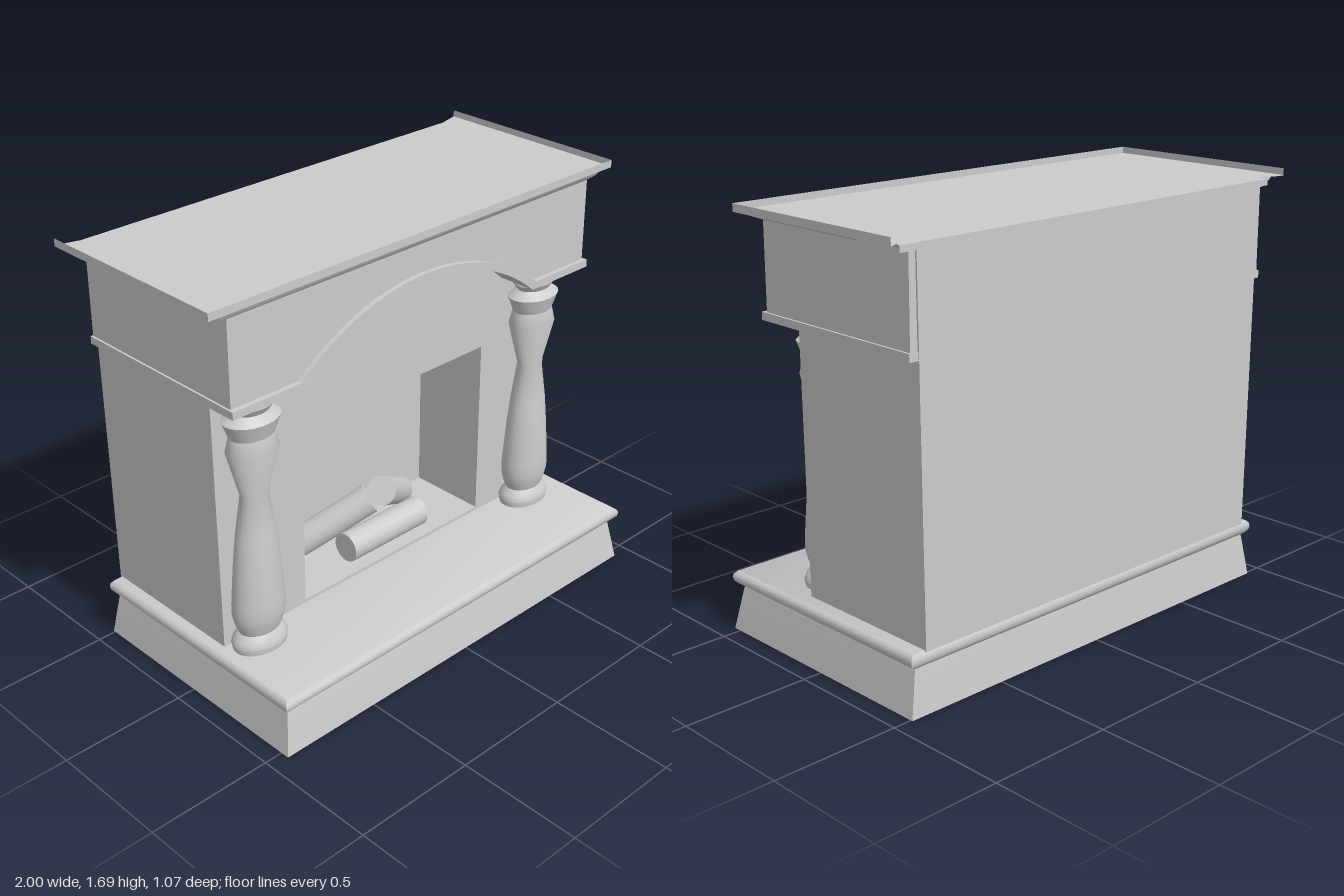
import * as THREE from 'three';
import { toCreasedNormals } from 'three/addons/utils/BufferGeometryUtils.js';

const grey = new THREE.MeshStandardMaterial({ color: 0xcccccc });
const greyDouble = new THREE.MeshStandardMaterial({ color: 0xcccccc, side: THREE.DoubleSide });

export function createModel() {
  const model = new THREE.Group();

  const add = (name, geometry, material = grey) => {
    const mesh = new THREE.Mesh(geometry, material);
    mesh.name = name;
    model.add(mesh);
    return mesh;
  };

  // Box given by its limits
  const block = (name, x0, x1, y0, y1, z0, z1) =>
    add(name, new THREE.BoxGeometry(x1 - x0, y1 - y0, z1 - z0))
      .position.set((x0 + x1) / 2, (y0 + y1) / 2, (z0 + z1) / 2);

  // Outline in x, y extruded between two z planes
  const slab = (name, shape, z0, z1) => {
    const g = new THREE.ExtrudeGeometry(shape, { depth: z1 - z0, bevelEnabled: false, curveSegments: 32 });
    g.translate(0, 0, z0);
    add(name, g);
  };

  // Rectangular rings [halfWidth, front, back, y] joined upwards; an open loft has no caps and no back
  const loft = (rings, open) => {
    const position = [], index = [];
    for (const [x, f, b, y] of rings) position.push(-x, y, f, x, y, f, x, y, b, -x, y, b);
    for (let r = 0; r < rings.length - 1; r++) {
      for (let i = 0; i < 4; i++) {
        if (open && i === 2) continue;
        const a = r * 4 + i, b = r * 4 + (i + 1) % 4;
        index.push(a, b, b + 4, a, b + 4, a + 4);
      }
    }
    if (!open) {
      const t = (rings.length - 1) * 4;
      index.push(t, t + 1, t + 2, t, t + 2, t + 3, 0, 2, 1, 0, 3, 2);
    }
    const g = new THREE.BufferGeometry();
    g.setAttribute('position', new THREE.Float32BufferAttribute(position, 3));
    g.setIndex(index);
    return toCreasedNormals(g, 0.75);
  };

  // Hearth plinth with a rounded upper edge
  const plinth = [[0, 0], [0.03, 0.165], [0.033, 0.178], [0.016, 0.187], [0.004, 0.198],
    [0, 0.213], [0.004, 0.228], [0.018, 0.24]];
  add('hearth', loft(plinth.map(([o, y]) => [0.925 - o, 0.535 - o, -0.508 + o * 0.6, y])));

  // Chimney breast with the firebox opening
  const breast = new THREE.Shape();
  breast.moveTo(-0.87, 0.235).lineTo(0.857, 0.235).lineTo(0.872, 1.63).lineTo(-0.882, 1.63).closePath();
  const opening = new THREE.Path();
  opening.moveTo(-0.47, 0.255).lineTo(-0.47, 1).lineTo(0.48, 1).lineTo(0.48, 0.255).closePath();
  const back = breast.clone();
  breast.holes.push(opening);
  slab('chimneyBreast', breast, -0.2, 0.13);
  slab('backWall', back, -0.507, -0.2);

  // Arch line: flat shoulders and a circular rise, as points from left to right
  const archLine = (halfWidth, halfSpan, shoulder, crown) => {
    const rise = crown - shoulder;
    const radius = (halfSpan ** 2 + rise ** 2) / (2 * rise);
    const points = [new THREE.Vector2(-halfWidth, shoulder)];
    for (let i = 0; i <= 32; i++) {
      const x = halfSpan * (i / 16 - 1);
      points.push(new THREE.Vector2(x, crown - radius + Math.sqrt(radius ** 2 - x ** 2)));
    }
    points.push(new THREE.Vector2(halfWidth, shoulder));
    return points;
  };
  const upper = archLine(0.9, 0.605, 1.295, 1.515);
  const trimUpper = archLine(0.908, 0.605, 1.295, 1.515);
  const trimLower = archLine(0.908, 0.585, 1.265, 1.487);

  // Frieze above the arch and its plain sides
  slab('frieze', new THREE.Shape([...upper, new THREE.Vector2(0.9, 1.64), new THREE.Vector2(-0.9, 1.64)]), 0.12, 0.27);
  block('friezeBody', -0.9, 0.9, 1.29, 1.64, -0.5, 0.125);

  // Trim following the arch and running back along both sides
  slab('archTrim', new THREE.Shape([...trimLower, ...trimUpper.reverse()]), 0.12, 0.29);
  block('sideTrim', -0.908, 0.908, 1.265, 1.295, -0.505, 0.125);

  // Mantel shelf: cornice with an upstanding rim on three sides
  add('cornice', loft([
    [0.9, 0.27, -0.505, 1.625], [0.935, 0.283, -0.505, 1.638], [0.955, 0.292, -0.51, 1.66],
    [1, 0.305, -0.535, 1.66], [1, 0.305, -0.535, 1.69],
  ], true), greyDouble);
  block('rearStrip', -0.94, 0.94, 1.627, 1.652, -0.505, -0.29);
  const top = new THREE.Shape();
  top.moveTo(-1, -0.305).lineTo(1, -0.305).lineTo(1, 0.535).lineTo(0.91, 0.51).lineTo(-0.91, 0.51).lineTo(-1, 0.535);
  add('shelfTop', new THREE.ShapeGeometry(top).rotateX(-Math.PI / 2).translate(0, 1.664, 0), greyDouble);

  // Turned columns, slightly flattened front to back
  const profile = [[0, 0.238], [0.112, 0.238], [0.117, 0.265], [0.108, 0.288], [0.086, 0.31], [0.1, 0.345],
    [0.109, 0.38], [0.109, 0.43], [0.095, 0.6], [0.082, 0.72], [0.057, 0.88], [0.106, 1.06], [0.09, 1.12],
    [0.116, 1.185], [0.075, 1.213], [0.096, 1.24], [0.088, 1.268], [0, 1.268]]
    .map(([r, y]) => new THREE.Vector2(r, y));
  for (const [name, x] of [['rightColumn', -0.75], ['leftColumn', 0.708]]) {
    const column = add(name, toCreasedNormals(new THREE.LatheGeometry(profile, 24), 0.6));
    column.scale.z = 0.74;
    column.position.set(x, 0, 0.19);
  }

  // Firewood: one log lying in front, two leaning together behind it
  const log = (name, from, to) => {
    const a = new THREE.Vector3(...from), b = new THREE.Vector3(...to);
    const dir = b.clone().sub(a);
    const mesh = add(name, new THREE.CylinderGeometry(0.06, 0.06, dir.length(), 24));
    mesh.position.copy(a).add(b).multiplyScalar(0.5);
    mesh.quaternion.setFromUnitVectors(new THREE.Vector3(0, 1, 0), dir.normalize());
  };
  log('frontLog', [-0.18, 0.315, 0.045], [0.22, 0.315, 0.045]);
  log('rightLog', [-0.275, 0.3, -0.13], [-0.035, 0.475, 0.03]);
  log('leftLog', [0.295, 0.3, -0.14], [0.048, 0.465, 0.01]);

  return model;
}
